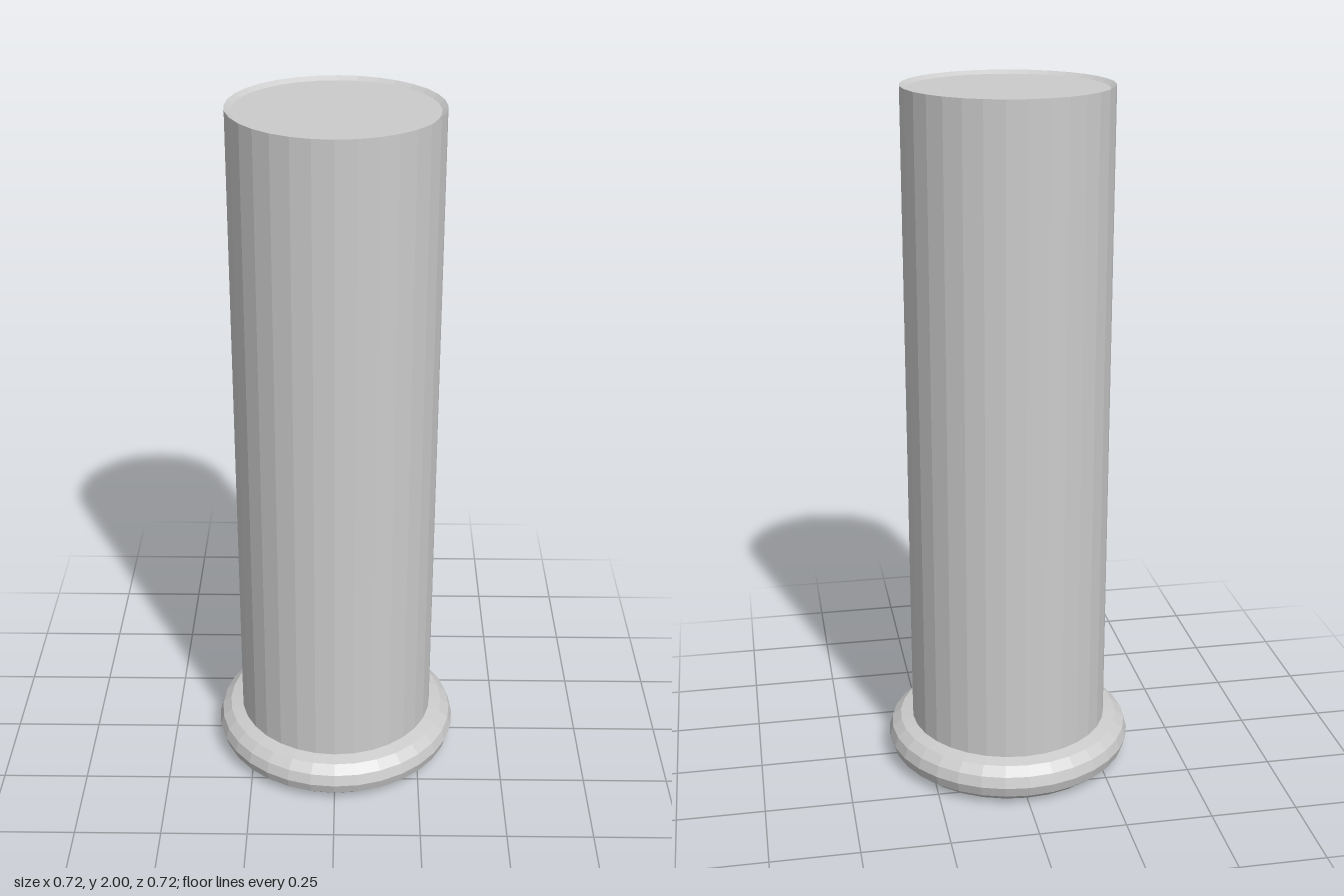
import * as THREE from 'three';

const SIDES = 32;

export function createModel() {
  const group = new THREE.Group();
  const material = new THREE.MeshStandardMaterial({
    color: 0xcccccc, flatShading: true, side: THREE.DoubleSide,
  });

  function add(name, geometry, y = 0) {
    const mesh = new THREE.Mesh(geometry, material);
    mesh.name = name;
    mesh.position.y = y;
    group.add(mesh);
  }

  // Hollow shaft: inner wall, bottom edge, outer wall and inward-sloping rim
  const profile = [[0.275, 1.98], [0.275, 0.09], [0.29, 0.09], [0.29, 2], [0.275, 1.99]]
    .map(([r, y]) => new THREE.Vector2(r, y));
  add('shaft', new THREE.LatheGeometry(profile, SIDES));

  // Cap closing the top, set just below the rim
  add('topCap', new THREE.CylinderGeometry(0.275, 0.275, 0.01, SIDES), 1.985);

  // Slightly flattened ring around the open bottom
  const ring = new THREE.TorusGeometry(0.291, 0.071, 12, SIDES);
  ring.rotateX(-Math.PI / 2);
  ring.scale(1, 0.062 / 0.071, 1);
  add('baseRing', ring, 0.062);

  return group;
}
